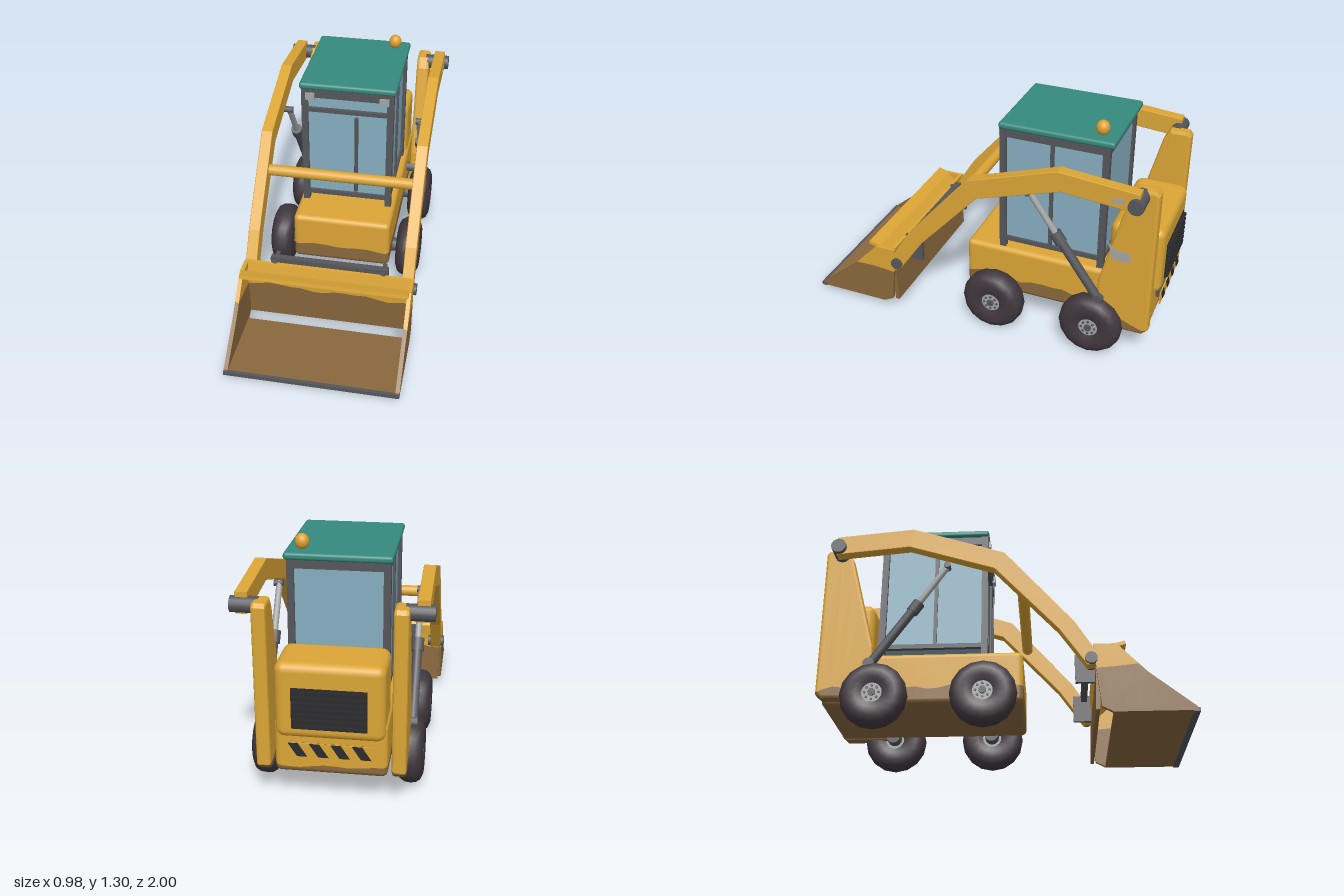
import * as THREE from 'three';
import { RoundedBoxGeometry } from 'three/addons/geometries/RoundedBoxGeometry.js';

const mat = (name, color) => {
  const m = new THREE.MeshStandardMaterial({ color });
  m.name = name;
  return m;
};

export function createModel() {
  const model = new THREE.Group();
  model.name = 'bucketMachine';
  const yellow = mat('yellow paint', 0xdba536), mudBrown = mat('dried mud', 0x8a683d);
  const frame = mat('dark grey steel', 0x55565b), tyre = mat('tyre rubber', 0x40373d);
  const black = mat('black', 0x2b2a2d), steel = mat('bare steel', 0xa3a5a5);
  const glass = mat('glass', 0x86adbf), teal = mat('roof teal', 0x358a7e);
  const amber = mat('amber', 0xe0a030);

  const add = (name, geo, material, parent = model) => {
    const m = new THREE.Mesh(geo, material);
    m.name = name;
    parent.add(m);
    return m;
  };
  // Box given by its x, y and z ranges, optionally rounded
  const box = (x0, x1, y0, y1, z0, z1, r = 0) => {
    const s = [x1 - x0, y1 - y0, z1 - z0];
    const g = r ? new RoundedBoxGeometry(...s, 3, r) : new THREE.BoxGeometry(...s);
    return g.translate((x0 + x1) / 2, (y0 + y1) / 2, (z0 + z1) / 2);
  };
  // Side profile of [z, y] points, extruded from x0 to x1 with a small bevel
  const profile = (pts, x0, x1, b = 0) => {
    const shape = new THREE.Shape(pts.map(p => new THREE.Vector2(...p)));
    const g = new THREE.ExtrudeGeometry(shape, {
      depth: x1 - x0 - 2 * b, bevelEnabled: b > 0, bevelSize: b,
      bevelOffset: -b, bevelThickness: b, bevelSegments: 2,
    });
    return g.translate(0, 0, b).rotateY(-Math.PI / 2).translate(x1, 0, 0);
  };
  // Round bar between two points
  const bar = (a, b, r, sides = 14) => {
    const p = new THREE.Vector3(...a), q = new THREE.Vector3(...b), d = q.clone().sub(p);
    const g = new THREE.CylinderGeometry(r, r, d.length(), sides);
    g.applyQuaternion(new THREE.Quaternion().setFromUnitVectors(new THREE.Vector3(0, 1, 0), d.normalize()));
    return g.translate(...p.add(q).multiplyScalar(0.5).toArray());
  };

  // Keep the part of a polygon where f >= 0
  const clip = (poly, f) => {
    const out = [];
    poly.forEach((a, i) => {
      const b = poly[(i + 1) % poly.length], fa = f(a), fb = f(b);
      if (fa >= 0) out.push(a);
      if ((fa >= 0) !== (fb >= 0)) out.push(a.map((v, k) => v + (b[k] - v) * fa / (fa - fb)));
    });
    return out;
  };
  // Split a painted part along a wavy mud line: clean above, mud below
  const muddy = (name, geo, line, parent = model) => {
    const g = geo.index ? geo.toNonIndexed() : geo;
    const P = g.attributes.position, N = g.attributes.normal, sides = [[], []];
    const vert = i => [P.getX(i), P.getY(i), P.getZ(i), N.getX(i), N.getY(i), N.getZ(i)];
    for (let i = 0; i < P.count; i += 3) {
      let polys = [[vert(i), vert(i + 1), vert(i + 2)]];
      const ys = polys[0].map(v => v[1]);
      if (Math.min(...ys) < 0.31 && Math.max(...ys) > 0.18) {
        for (const axis of [0, 2]) for (let k = -0.9863; k < 1; k += 0.06) {
          polys = polys.flatMap(p => [clip(p, v => v[axis] - k), clip(p, v => k - v[axis])])
            .filter(p => p.length > 2);
        }
      }
      for (const p of polys) [1, -1].forEach((s, j) => {
        const q = clip(p, v => s * (v[1] - line(v[0], v[2])));
        for (let t = 1; t < q.length - 1; t++) sides[j].push(q[0], q[t], q[t + 1]);
      });
    }
    const all = [...sides[0], ...sides[1]], out = new THREE.BufferGeometry();
    out.setAttribute('position', new THREE.Float32BufferAttribute(all.flatMap(v => v.slice(0, 3)), 3));
    out.setAttribute('normal', new THREE.Float32BufferAttribute(all.flatMap(v => v.slice(3)), 3));
    out.addGroup(0, sides[0].length, 0);
    out.addGroup(sides[0].length, sides[1].length, 1);
    add(name, out, [yellow, mudBrown], parent);
  };
  const bodyLine = (x, z) => 0.26 - Math.max(0, -0.65 - z) * 0.18
    + 0.009 * Math.sin(z * 17 + x * 5) + 0.006 * Math.sin(z * 39 + x * 23);
  const bucketLine = (x, z) => 0.265 - 0.025 * x + 0.01 * Math.sin(x * 15 + z * 11) + 0.006 * Math.sin(x * 34);

  // Chassis, engine cover, grille and rear hazard plate
  muddy('chassis', box(-0.28, 0.28, 0.165, 0.455, -0.945, 0.123, 0.03), bodyLine);
  add('engineCover', box(-0.27, 0.27, 0.37, 0.765, -0.98, -0.69, 0.045), yellow);
  add('grillePanel', box(-0.185, 0.185, 0.43, 0.645, -0.985, -0.97), black);
  for (let i = 0; i < 7; i++) {
    const y = 0.447 + i * 0.03;
    add('grilleSlat', box(-0.18, 0.18, y - 0.008, y + 0.008, -1, -0.98), black);
  }
  add('hazardPlateMount', box(-0.18, 0.18, 0.295, 0.335, -0.975, -0.93), frame);
  add('hazardPlate', box(-0.215, 0.215, 0.28, 0.35, -0.98, -0.973), yellow);
  for (let i = 0; i < 4; i++) {
    const x = -0.205 + i * 0.105;
    const s = new THREE.Shape([[x, 0.28], [x + 0.05, 0.28], [x + 0.095, 0.35], [x + 0.045, 0.35]]
      .map(p => new THREE.Vector2(...p)));
    add('hazardStripe', new THREE.ExtrudeGeometry(s, { depth: 0.004, bevelEnabled: false }).translate(0, 0, -0.983), black);
  }

  // Cab: glass, frame, lamps, roof and beacon
  const cab = new THREE.Group();
  cab.name = 'cab';
  model.add(cab);
  add('cabGlass', box(-0.238, 0.238, 0.51, 1.15, -0.648, -0.085), glass, cab);
  for (const s of [-1, 1]) {
    for (const z of [-0.085, -0.645]) {
      add('cabPillar', box(s * 0.24 - 0.018, s * 0.24 + 0.018, 0.44, 1.19, z - 0.018, z + 0.018), frame, cab);
    }
    add('doorPost', box(s * 0.24 - 0.01, s * 0.24 + 0.01, 0.51, 1.16, -0.366, -0.346), frame, cab);
    for (const [y0, y1] of [[0.495, 0.52], [1.135, 1.185]]) {
      add('sideRail', box(s * 0.24 - 0.013, s * 0.24 + 0.013, y0, y1, -0.645, -0.085), frame, cab);
    }
    add('workLamp', box(s * 0.207 - 0.026, s * 0.207 + 0.026, 1.125, 1.165, -0.075, -0.055), steel, cab);
  }
  for (const z of [-0.08, -0.65]) {
    add('lowerRail', box(-0.24, 0.24, 0.497, 0.523, z - 0.012, z + 0.012), frame, cab);
    add('upperRail', box(-0.24, 0.24, 1.135, 1.185, z - 0.012, z + 0.012), frame, cab);
  }
  add('windscreenRail', box(-0.235, 0.235, 1.047, 1.07, -0.09, -0.065), frame, cab);
  add('wiper', bar([0.052, 0.54, -0.073], [0.052, 1.025, -0.073], 0.011, 8), frame, cab);
  add('roof', box(-0.27, 0.27, 1.183, 1.22, -0.688, -0.063, 0.015), teal, cab);
  const beacon = add('beacon', new THREE.SphereGeometry(0.036, 16, 12), amber, cab);
  beacon.scale.y = 1.12;
  beacon.position.set(0.188, 1.256, -0.6);

  // Wheels: lathed tyre, hub and bolts
  const tyreProfile = [[0.05, -0.05], [0.085, -0.064], [0.125, -0.066], [0.157, -0.052], [0.173, -0.028],
    [0.176, 0], [0.173, 0.028], [0.157, 0.052], [0.125, 0.066], [0.085, 0.064], [0.05, 0.05]]
    .map(p => new THREE.Vector2(...p));
  for (const s of [-1, 1]) for (const z of [-0.08, -0.647]) {
    const wheel = new THREE.Group();
    wheel.name = 'wheel';
    wheel.position.set(s * 0.375, 0.176, z);
    model.add(wheel);
    add('tyre', new THREE.LatheGeometry(tyreProfile, 16).rotateZ(-Math.PI / 2), tyre, wheel);
    add('hub', bar([-0.052, 0, 0], [0.052, 0, 0], 0.053, 18), steel, wheel);
    add('hubCap', bar([s * 0.05, 0, 0], [s * 0.062, 0, 0], 0.02, 10), frame, wheel);
    for (let i = 0; i < 8; i++) {
      const a = i * Math.PI / 4, y = 0.037 * Math.sin(a), w = 0.037 * Math.cos(a);
      add('wheelBolt', bar([s * 0.05, y, w], [s * 0.058, y, w], 0.007, 6), frame, wheel);
    }
    add('axle', bar([-s * 0.12, 0, 0], [0, 0, 0], 0.04), frame, wheel);
  }

  // Rear towers, lift arms, pivots and hydraulic rams on both sides
  const towerPts = [[-0.66, 0.17], [-0.925, 0.17], [-0.957, 0.2], [-0.957, 1.03], [-0.94, 1.05],
    [-0.84, 1.05], [-0.805, 0.99], [-0.67, 0.46]];
  const armPts = [[-0.88, 1.08], [-0.46, 1.117], [0.035, 0.955], [0.395, 0.535], [0.51, 0.35], [0.495, 0.29],
    [0.455, 0.285], [0.315, 0.49], [-0.02, 0.858], [-0.48, 1.005], [-0.88, 0.97]];
  for (const s of [-1, 1]) {
    const side = (a, b) => (s > 0 ? [a, b] : [-b, -a]);
    muddy('rearTower', profile(towerPts, ...side(0.3, 0.372), 0.014), bodyLine);
    add('liftArm', profile(armPts, ...side(0.402, 0.464), 0.004), yellow);
    add('upperPivot', bar([s * 0.35, 1.015, -0.867], [s * 0.488, 1.015, -0.867], 0.041, 16), frame);
    add('lowerPivot', bar([s * 0.385, 0.32, 0.475], [s * 0.482, 0.32, 0.475], 0.032, 16), frame);
    const x = s * 0.38;
    add('ramRod', bar([x, 0.93, -0.275], [x, 0.66, -0.46], 0.017), steel);
    add('ramCollar', bar([x, 0.705, -0.428], [x, 0.65, -0.466], 0.033), frame);
    add('ramCylinder', bar([x, 0.69, -0.44], [x, 0.34, -0.685], 0.025), frame);
    add('ramMount', bar([s * 0.26, 0.35, -0.68], [s * 0.405, 0.35, -0.68], 0.03), frame);
    add('ramPin', bar([s * 0.36, 0.922, -0.28], [s * 0.41, 0.922, -0.28], 0.018), frame);
  }
  add('armCrossbar', bar([-0.41, 0.765, 0.13], [0.41, 0.765, 0.13], 0.031, 18), yellow);

  // Worn patches where paint has rubbed off on the left side
  add('wornTowerPatch', profile([[-0.71, 0.715], [-0.75, 0.675], [-0.82, 0.67], [-0.845, 0.625],
    [-0.79, 0.605], [-0.735, 0.62], [-0.73, 0.66]], 0.37, 0.374), steel);
  add('wornArmPatch', profile([[-0.735, 1.01], [-0.76, 1.035], [-0.81, 1.04], [-0.8, 1.01]], 0.462, 0.466), steel);

  // Bucket: side plates, back, sloped hood, floor and cutting edge
  const bucket = new THREE.Group();
  bucket.name = 'bucket';
  model.add(bucket);
  const cheekPts = [[0.99, 0.03], [0.985, 0.05], [0.755, 0.24], [0.605, 0.4], [0.49, 0.4], [0.5, 0.25],
    [0.518, 0.06], [0.575, 0.03]];
  for (const s of [-1, 1]) {
    muddy('bucketSide', profile(cheekPts, s * 0.456 - 0.011, s * 0.456 + 0.011), bucketLine, bucket);
  }
  muddy('bucketBack', profile([[0.487, 0.05], [0.508, 0.05], [0.53, 0.33], [0.51, 0.405], [0.49, 0.405],
    [0.498, 0.32]], -0.45, 0.45), bucketLine, bucket);
  add('bucketHood', profile([[0.51, 0.325], [0.535, 0.325], [0.6, 0.385], [0.655, 0.4], [0.65, 0.42],
    [0.585, 0.402]], -0.455, 0.455), yellow, bucket);
  add('bucketFloor', box(-0.45, 0.45, 0.03, 0.048, 0.575, 0.98), mudBrown, bucket);
  add('cuttingEdge', box(-0.467, 0.467, 0.024, 0.046, 0.965, 0.998), frame, bucket);
  add('wornBucketPatch', box(0.175, 0.255, 0.305, 0.325, 0.525, 0.533), steel, bucket);

  // Quick coupler between the arms and the bucket
  add('couplerBeam', box(-0.325, 0.325, 0.375, 0.422, 0.44, 0.475), frame);
  for (const s of [-1, 1]) {
    add('couplerBracket', box(s * 0.298 - 0.011, s * 0.298 + 0.011, 0.255, 0.41, 0.395, 0.5), frame);
  }
  return model;
}
